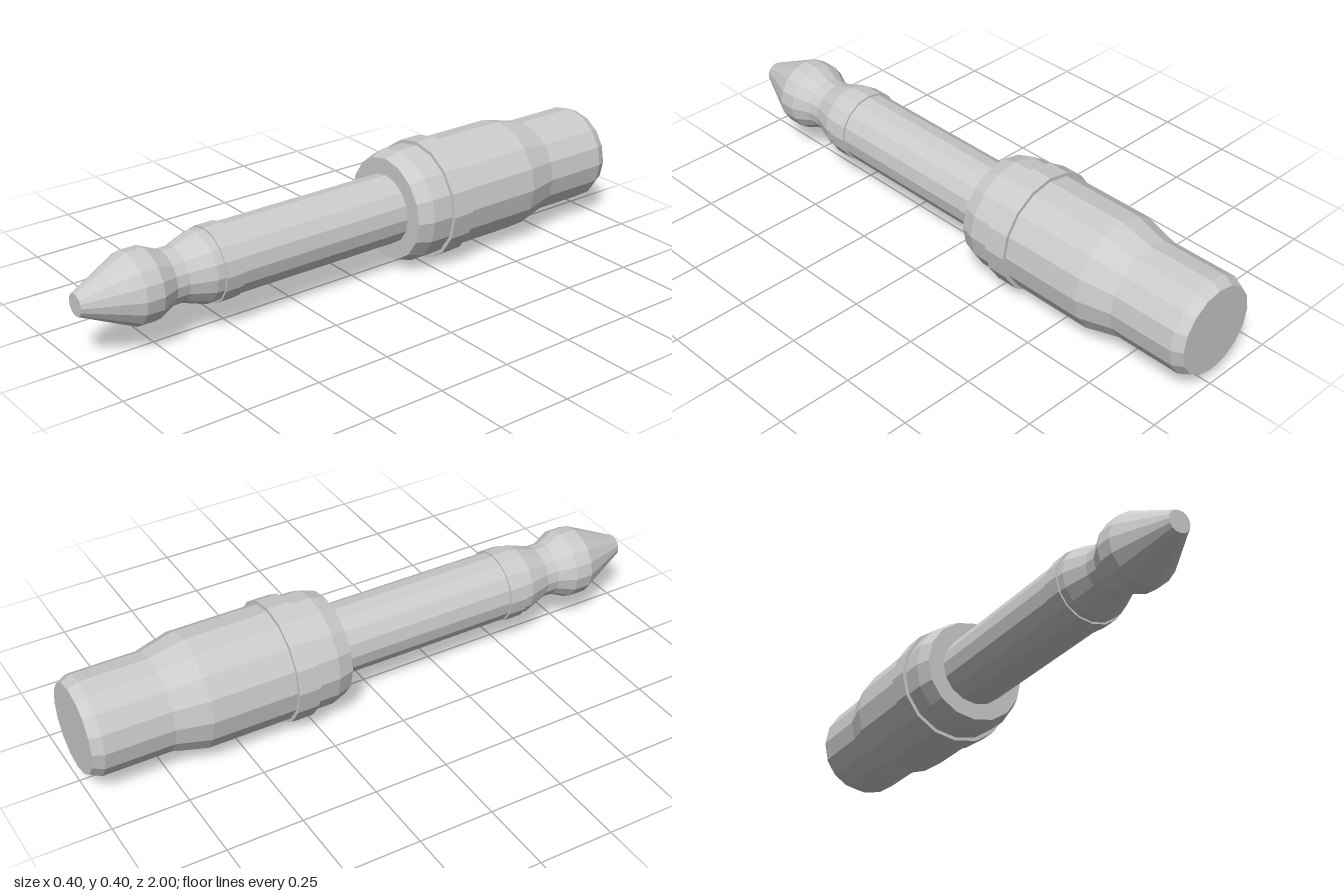
import * as THREE from 'three';

const SIDES = 16;
const AXIS_Y = 0.202;

export function createModel() {
  const group = new THREE.Group();
  group.name = 'audioPlug';
  const material = new THREE.MeshStandardMaterial({ color: 0xcccccc, flatShading: true });

  // Closed faceted turning along z; profile is [radius, z] from back to front
  function turned(name, profile) {
    const closed = [[0, profile[0][1]], ...profile, [0, profile[profile.length - 1][1]]];
    const points = closed.map(([r, z]) => new THREE.Vector2(r, z));
    const geometry = new THREE.LatheGeometry(points, SIDES).rotateX(Math.PI / 2);
    const mesh = new THREE.Mesh(geometry, material);
    mesh.name = name;
    mesh.position.y = AXIS_Y;
    group.add(mesh);
  }

  // Grip sleeve, narrowing towards the back
  turned('handle', [
    [0.145, -1], [0.162, -0.965], [0.162, -0.74],
    [0.19, -0.627], [0.19, -0.193], [0.173, -0.14],
  ]);

  // Raised band around the grip
  turned('handleCollar', [[0.202, -0.343], [0.202, -0.268]]);

  // Contact pin with waisted neck and pointed, blunt-ended tip
  turned('pin', [
    [0.117, -0.15], [0.117, 0.585], [0.09, 0.665], [0.09, 0.708],
    [0.117, 0.767], [0.117, 0.826], [0.036, 1],
  ]);

  // Thin insulating ring on the pin
  turned('pinRing', [[0.123, 0.493], [0.123, 0.557]]);

  return group;
}
